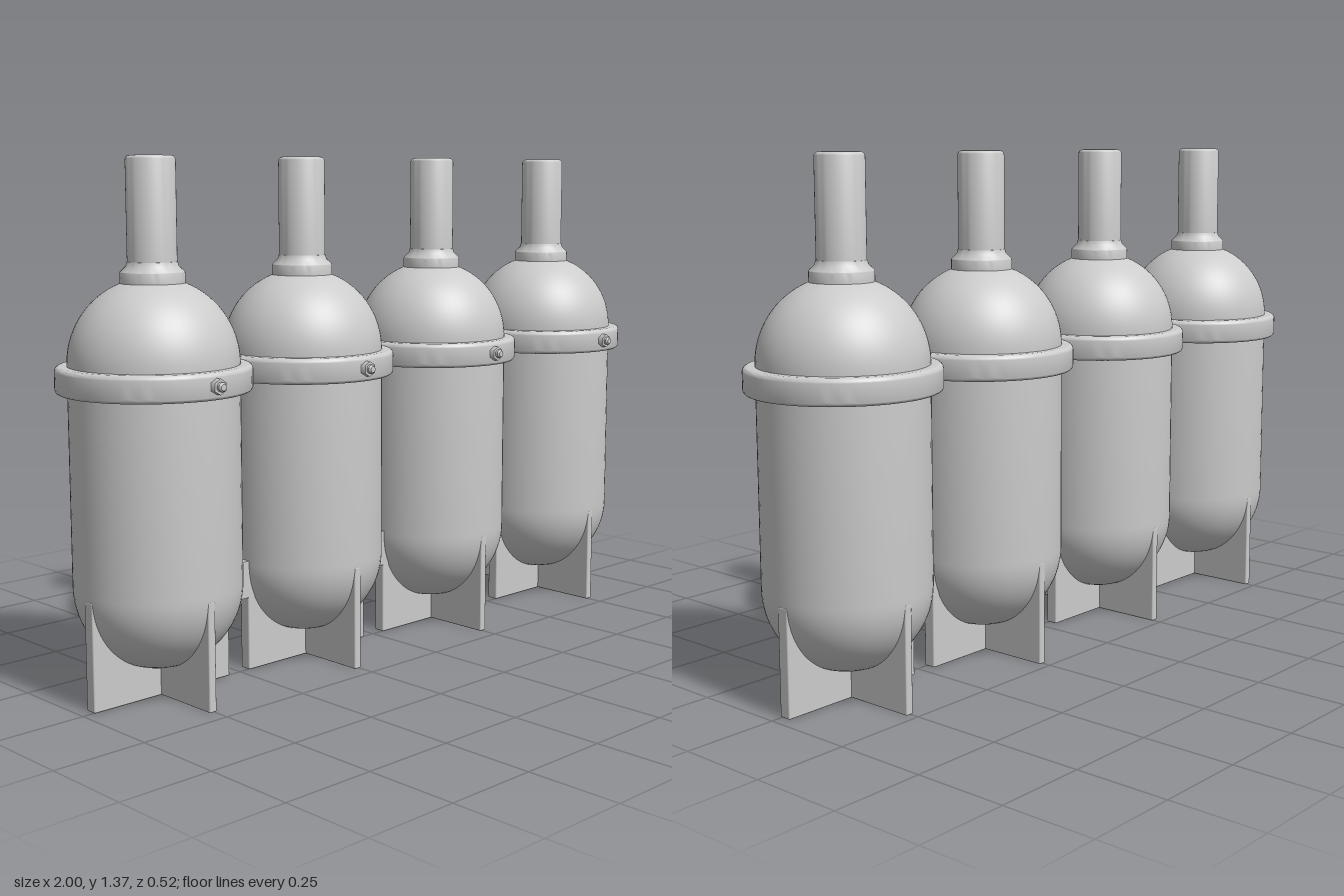
import * as THREE from 'three';
import { toCreasedNormals } from 'three/addons/utils/BufferGeometryUtils.js';
import { RoundedBoxGeometry } from 'three/addons/geometries/RoundedBoxGeometry.js';

const material = new THREE.MeshStandardMaterial({ color: 0xcccccc });
const R = 0.215; // tank radius
const AXIS_Z = -0.012; // depth of the tank axes

// Points along a circular arc in the (radius, y) plane, angles in degrees.
function arc(cx, cy, r, from, to, steps) {
  return Array.from({ length: steps + 1 }, (_, i) => {
    const a = THREE.MathUtils.degToRad(from + ((to - from) * i) / steps);
    return [Math.max(0, cx + r * Math.cos(a)), cy + r * Math.sin(a)];
  });
}

function lathe(points, segments = 64) {
  const profile = points.map(([x, y]) => new THREE.Vector2(x, y));
  return toCreasedNormals(new THREE.LatheGeometry(profile, segments), 0.6);
}

function add(parent, name, geometry, x = 0, y = 0, z = 0) {
  const mesh = new THREE.Mesh(geometry, material);
  mesh.name = name;
  mesh.position.set(x, y, z);
  parent.add(mesh);
  return mesh;
}

// Cylindrical shell with a hemispherical bottom and dome
const shell = lathe([
  ...arc(0, 0.29, R, -90, 0, 20),
  ...arc(0, 0.853, R, 0, 90, 20),
]);

// Clamp band with rounded edges
const band = lathe([
  [R - 0.01, 0.782],
  ...arc(0.234, 0.794, 0.012, -90, 0, 5),
  ...arc(0.234, 0.838, 0.012, 0, 90, 5),
  [R - 0.01, 0.85],
]);

// Collar at the foot of the neck
const collar = lathe([
  [0.07, 1.045],
  [0.081, 1.05],
  ...arc(0.075, 1.077, 0.006, 0, 50, 3),
  [0.066, 1.094],
  [0.063, 1.105],
  [0.05, 1.107],
], 48);

// Neck with a softened top edge
const neck = lathe([
  [0.062, 1.04],
  ...arc(0.05, 1.353, 0.012, 0, 90, 5),
  [0, 1.365],
], 48);

// Fins crossing beneath the shell
const sideFin = new RoundedBoxGeometry(2 * R, 0.28, 0.034, 2, 0.004);
const frontFin = new RoundedBoxGeometry(0.022, 0.28, 2 * R, 2, 0.004);

// Bolt: hexagonal head and round tip, pointing forward
const boltHead = new THREE.CylinderGeometry(0.02, 0.02, 0.018, 6).rotateX(Math.PI / 2);
const boltTip = lathe([
  [0.012, 0],
  [0.012, 0.02],
  [0.008, 0.025],
  [0, 0.026],
], 20).rotateX(Math.PI / 2);

function createTank() {
  const tank = new THREE.Group();
  tank.name = 'tank';
  add(tank, 'shell', shell);
  add(tank, 'clampBand', band);
  add(tank, 'collar', collar);
  add(tank, 'neck', neck);
  add(tank, 'sideFin', sideFin, 0, 0.14, 0);
  add(tank, 'frontFin', frontFin, 0, 0.14, 0);
  add(tank, 'boltHead', boltHead, 0, 0.817, 0.252);
  add(tank, 'boltTip', boltTip, 0, 0.817, 0.248);
  return tank;
}

export function createModel() {
  const model = new THREE.Group();
  model.name = 'tankRow';

  const xs = [-0.754, -0.256, 0.252, 0.754];
  xs.forEach((x, i) => {
    const tank = createTank();
    tank.position.set(x, 0, AXIS_Z);
    model.add(tank);

    // Connecting bar to the next tank
    if (i < xs.length - 1) {
      const next = xs[i + 1];
      const bar = new THREE.BoxGeometry(next - x - 0.3, 0.1, 0.038);
      add(model, 'connectingBar', bar, (x + next) / 2, 0.25, AXIS_Z);
    }
  });

  return model;
}
